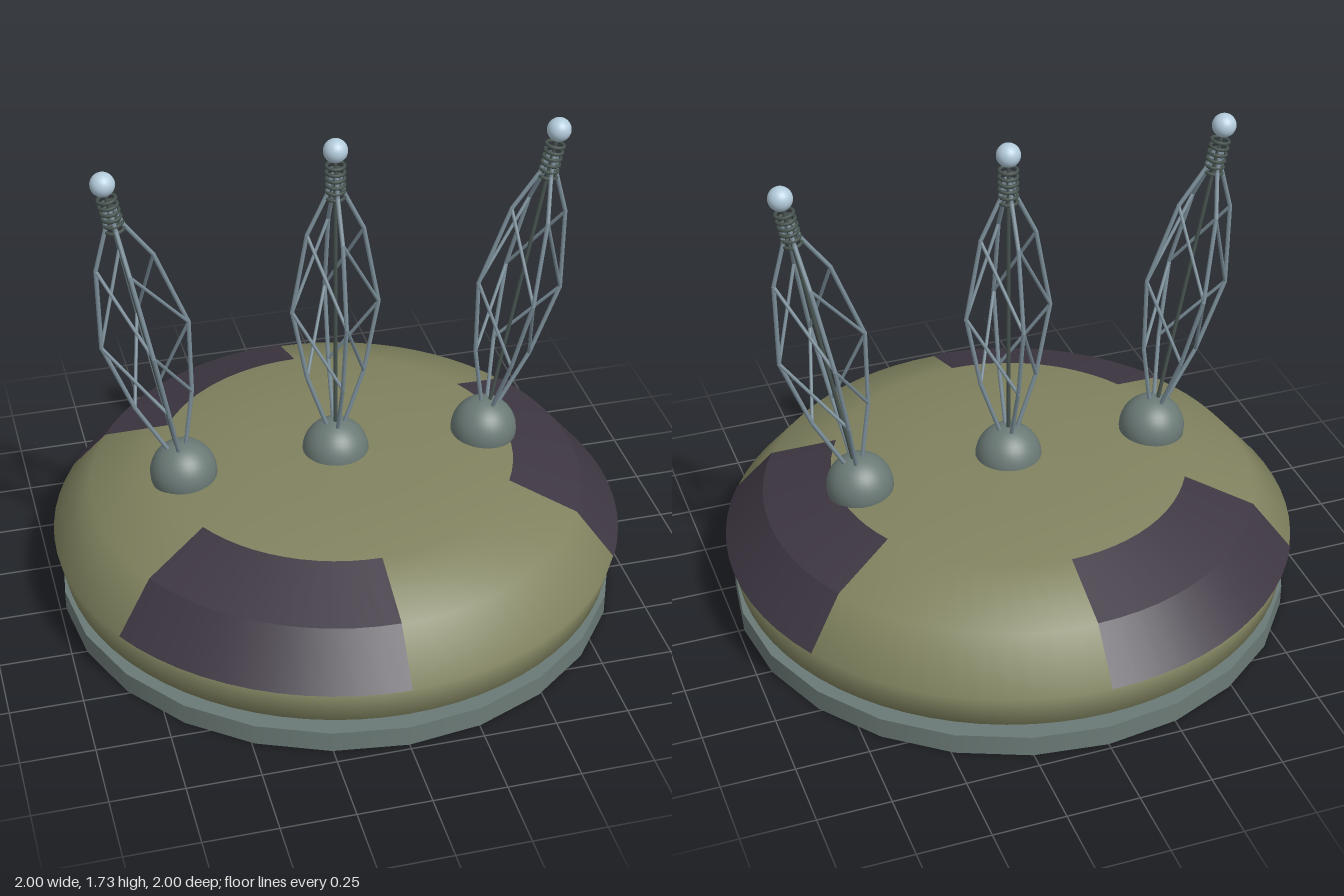
import * as THREE from 'three';
import { mergeGeometries } from 'three/addons/utils/BufferGeometryUtils.js';

const material = (name, color) => {
  const m = new THREE.MeshStandardMaterial({ color });
  m.name = name;
  return m;
};
const olive = material('olive', 0x80825f);
const plum = material('plum', 0x3e3743);
const slate = material('slate', 0x6b7a76);
const steel = material('steel', 0x7b8e99);
const darkMetal = material('dark metal', 0x47534f);
const paleBlue = material('pale blue', 0xb4ccdc);

const V = (x, y, z) => new THREE.Vector3(x, y, z);
const lathePoints = (pairs) => pairs.map(([r, y]) => new THREE.Vector2(r, y));

function add(parent, name, geometry, mat) {
  const mesh = new THREE.Mesh(geometry, mat);
  mesh.name = name;
  parent.add(mesh);
  return mesh;
}

// Round bar between two points
function rod(a, b, radius) {
  const dir = b.clone().sub(a);
  const g = new THREE.CylinderGeometry(radius, radius, dir.length(), 8);
  g.applyQuaternion(new THREE.Quaternion().setFromUnitVectors(V(0, 1, 0), dir.clone().normalize()));
  const mid = a.clone().add(b).multiplyScalar(0.5);
  return g.translate(mid.x, mid.y, mid.z);
}

// Domed shell
function shell() {
  const profile = [[0.9, 0.07], [0.97, 0.125], [0.997, 0.25], [0.858, 0.412], [0.62, 0.498], [0.3, 0.52], [0, 0.53]];
  return new THREE.LatheGeometry(lathePoints(profile), 72);
}

// Shoulder panel: two creased bands over a 60 degree sector
function panel(start) {
  const profile = [[1, 0.25], [0.861, 0.416], [0.62, 0.502]];
  const bands = [0, 1].map((i) =>
    new THREE.LatheGeometry(lathePoints(profile.slice(i, i + 2)), 12, start, Math.PI / 3));
  return mergeGeometries(bands);
}

// Lattice mast: four bowed struts with spiralling braces; origin at the ball joint
function lattice() {
  const levels = [[0.02, 0.07], [0.1, 0.31], [0.15, 0.58], [0.097, 0.87], [0.03, 1.01], [0.015, 1.08]];
  const node = (level, k) => {
    const [r, y] = levels[level], a = k * Math.PI / 2;
    return V(r * Math.cos(a), y, r * Math.sin(a));
  };
  const parts = [];
  for (let k = 0; k < 4; k++) {
    for (let l = 0; l < levels.length - 1; l++) parts.push(rod(node(l, k), node(l + 1, k), 0.0075));
    for (const l of [1, 2]) parts.push(rod(node(l, k), node(l + 1, k + 1), 0.006));
  }
  return mergeGeometries(parts);
}

// Stacked coils below the tip
function spring() {
  const rings = [];
  for (let i = 0; i < 6; i++) {
    rings.push(new THREE.TorusGeometry(0.03, 0.006, 6, 20).rotateX(Math.PI / 2).translate(0, 1 + i * 0.023, 0));
  }
  return mergeGeometries(rings);
}

function antenna(name, x, tilt) {
  const group = new THREE.Group();
  group.name = name;
  group.position.set(x, 0.52, 0);
  add(group, 'ballJoint', new THREE.SphereGeometry(0.116, 32, 20), slate);
  const mast = new THREE.Group();
  mast.name = 'mast';
  mast.rotation.z = tilt;
  add(mast, 'lattice', lattice(), steel);
  add(mast, 'coreRod', rod(V(0, 0.05, 0), V(0, 1.15, 0), 0.007), darkMetal);
  add(mast, 'spring', spring(), darkMetal);
  add(mast, 'tipBall', new THREE.SphereGeometry(0.041, 24, 16).translate(0, 1.17, 0), paleBlue);
  group.add(mast);
  return group;
}

export function createModel() {
  const model = new THREE.Group();
  model.name = 'domedDevice';
  add(model, 'basePlate', new THREE.CylinderGeometry(0.98, 0.98, 0.075, 24).translate(0, 0.0375, 0), slate);
  add(model, 'shell', shell(), olive);
  ['leftPanel', 'backPanel', 'frontPanel'].forEach((name, i) =>
    add(model, name, panel((1 + 2 * i) * Math.PI / 3), plum));
  model.add(antenna('rightAntenna', -0.54, 0.19));
  model.add(antenna('centreAntenna', 0, 0));
  model.add(antenna('leftAntenna', 0.54, -0.19));
  return model;
}
